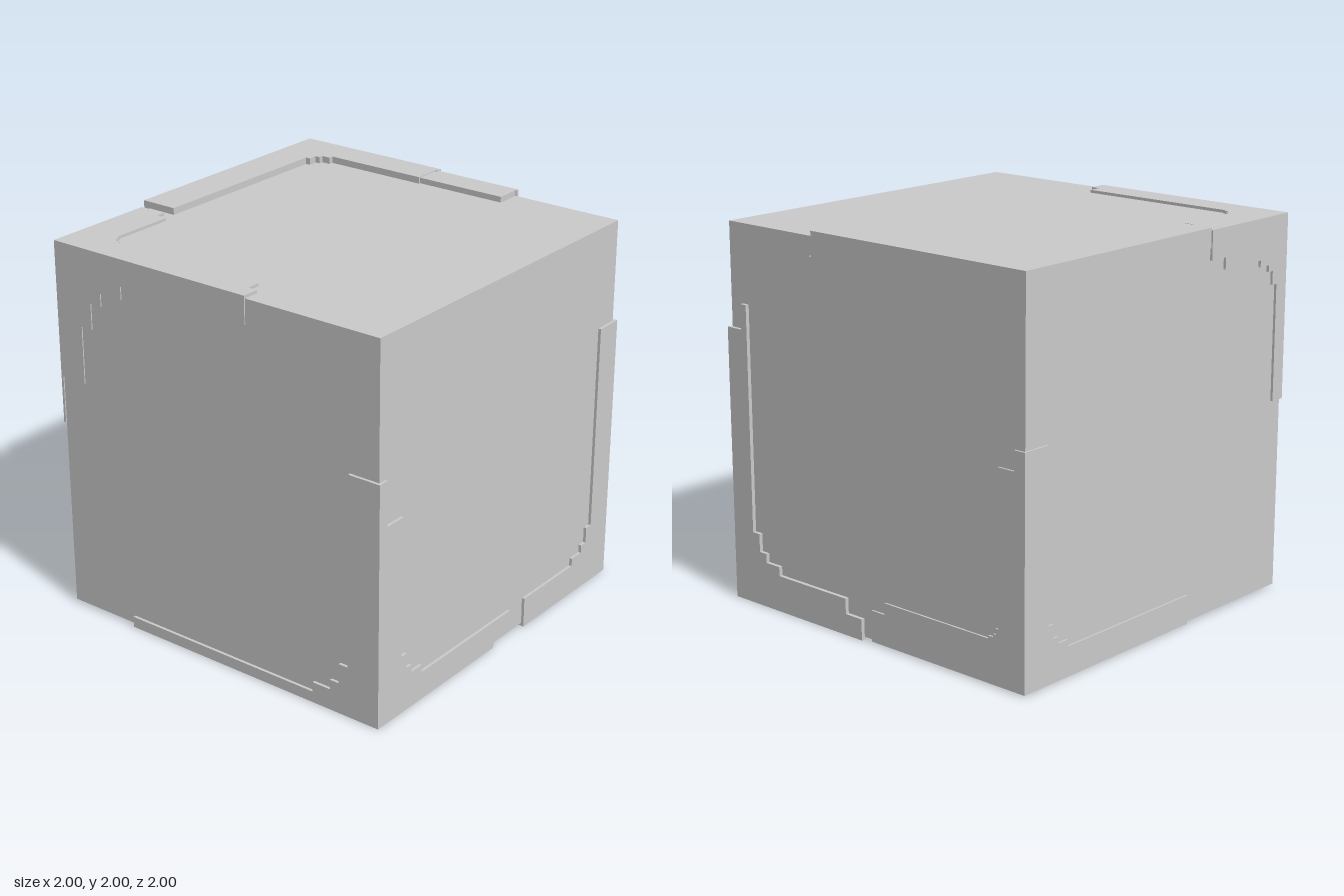
import * as THREE from 'three';

const material = new THREE.MeshStandardMaterial({ color: 0xcccccc, flatShading: true });

// Core block limits
const CORE = { x: [-0.985, 0.965], y: [0.015, 1.965], z: [-0.965, 0.985] };

// Plane coordinates (u, v) of the plates on each face
const PLANE = { x: ['z', 'y'], y: ['x', 'z'], z: ['x', 'y'] };
const PLATE_NAME = { x: 'sidePlate', y: 'levelPlate', z: 'endPlate' };

function addBox(group, name, x, y, z) {
  const g = new THREE.BoxGeometry(x[1] - x[0], y[1] - y[0], z[1] - z[0]);
  g.translate((x[0] + x[1]) / 2, (y[0] + y[1]) / 2, (z[0] + z[1]) / 2);
  const mesh = new THREE.Mesh(g, material);
  mesh.name = name;
  group.add(mesh);
}

// L-shaped band around a corner (cu, cv). It begins on the u edge at v = v0 and
// ends on the v edge at u = u1; its inner bend at (ui, vi) is a three-step
// fillet of the given size. Each end may carry one square notch.
function bandOutline(cu, cv, { band: [v0, ui, vi, u1, fillet], start, end }) {
  const fu = Math.sign(ui - cu) * fillet;
  const fv = Math.sign(vi - cv) * fillet;
  const pts = [[cu, v0]];
  if (start) pts.push([start[0], v0], start, [ui, start[1]]);
  else pts.push([ui, v0]);
  let du = 0;
  for (const k of [0.25, 0.5, 1]) {
    const v = vi + (fv * 0.25) / k;
    pts.push([ui + du, v], [ui + fu * k, v]);
    du = fu * k;
  }
  pts.push([ui + du, vi]);
  if (end) pts.push([end[0], vi], end, [u1, end[1]]);
  else pts.push([u1, vi]);
  pts.push([u1, cv], [cu, cv]);
  return pts;
}

// Thin plate from the core's face out to the corner point
function facePlate(axis, corner, spec) {
  const [ku, kv] = PLANE[axis];
  const [min, max] = CORE[axis];
  const out = corner[axis];
  const lo = Math.min(out, max);
  const hi = Math.max(out, min);
  const flip = axis === 'x' ? -1 : 1;
  const pts = bandOutline(corner[ku], corner[kv], spec)
    .map(([u, v]) => new THREE.Vector2(u * flip, v));
  const g = new THREE.ExtrudeGeometry(new THREE.Shape(pts), { depth: hi - lo, bevelEnabled: false });
  g.translate(0, 0, axis === 'y' ? -hi : lo);
  if (axis === 'x') g.rotateY(Math.PI / 2);
  if (axis === 'y') g.rotateX(Math.PI / 2);
  const mesh = new THREE.Mesh(g, material);
  mesh.name = PLATE_NAME[axis];
  return mesh;
}

// Three plates wrapped round one corner of the core
function addGuard(model, name, [x, y, z], plates) {
  const group = new THREE.Group();
  group.name = name;
  for (const axis of ['x', 'y', 'z']) group.add(facePlate(axis, { x, y, z }, plates[axis]));
  model.add(group);
}

export function createModel() {
  const model = new THREE.Group();
  model.name = 'corneredBlock';

  addBox(model, 'core', CORE.x, CORE.y, CORE.z);

  // Bottom guards
  addGuard(model, 'frontLeftBottomGuard', [0.985, 0, 1], {
    x: { band: [1.43, 0.86, 0.19, 0.08, 0.19], start: [0.9, 1.56], end: [0.19, 0.11] },
    y: { band: [0.08, 0.86, 0.93, 0.22, 0.3] },
    z: { band: [1.43, 0.83, 0.16, 0.22, 0.17] },
  });
  addGuard(model, 'frontRightBottomGuard', [-1, 0.002, 1], {
    x: { band: [1.27, 0.82, 0.06, -0.55, 0.21] },
    y: { band: [-0.55, -0.88, 0.93, -0.05, 0.3] },
    z: { band: [1.27, -0.82, 0.15, -0.05, 0.16], start: [-0.94, 1.04], end: [0.09, 0.09] },
  });
  addGuard(model, 'backLeftBottomGuard', [0.975, 0.008, -0.975], {
    x: { band: [1.17, -0.81, 0.23, 0.02, 0.06], start: [-0.91, 1.07], end: [-0.07, 0.17] },
    y: { band: [0.02, 0.88, -0.92, -0.24, 0.17] },
    z: { band: [1.17, 0.81, 0.16, -0.24, 0.14] },
  });

  // Top guards
  addGuard(model, 'backLeftTopGuard', [1, 2, -1], {
    x: { band: [1.2, -0.85, 1.83, -0.12, 0.26] },
    y: { band: [-0.13, 0.82, -0.8, -0.33, 0.1] },
    z: { band: [1.2, 0.91, 1.84, -0.33, 0.18], end: [-0.29, 1.9] },
  });
  addGuard(model, 'backRightTopGuard', [-0.991, 1.98, -0.978], {
    x: { band: [1.27, -0.82, 1.84, 0.22, 0.27] },
    y: { band: [0.22, -0.83, -0.77, -0.37, 0.06], start: [-0.9, 0.17], end: [-0.42, -0.83] },
    z: { band: [1.02, -0.91, 1.77, -0.37, 0.14], end: [-0.48, 1.83] },
  });

  // Short strip continuing the tall guard along the top left edge
  const strip = new THREE.Group();
  strip.name = 'topEdgeStrip';
  addBox(strip, 'stripTop', [0.83, 0.983], [1.965, 1.995], [-0.13, 0.375]);
  addBox(strip, 'stripSide', [0.965, 0.983], [1.87, 1.995], [-0.11, 0.38]);
  addBox(strip, 'stripLip', [0.965, 0.983], [1.85, 1.87], [-0.11, 0.4]);
  model.add(strip);

  return model;
}
